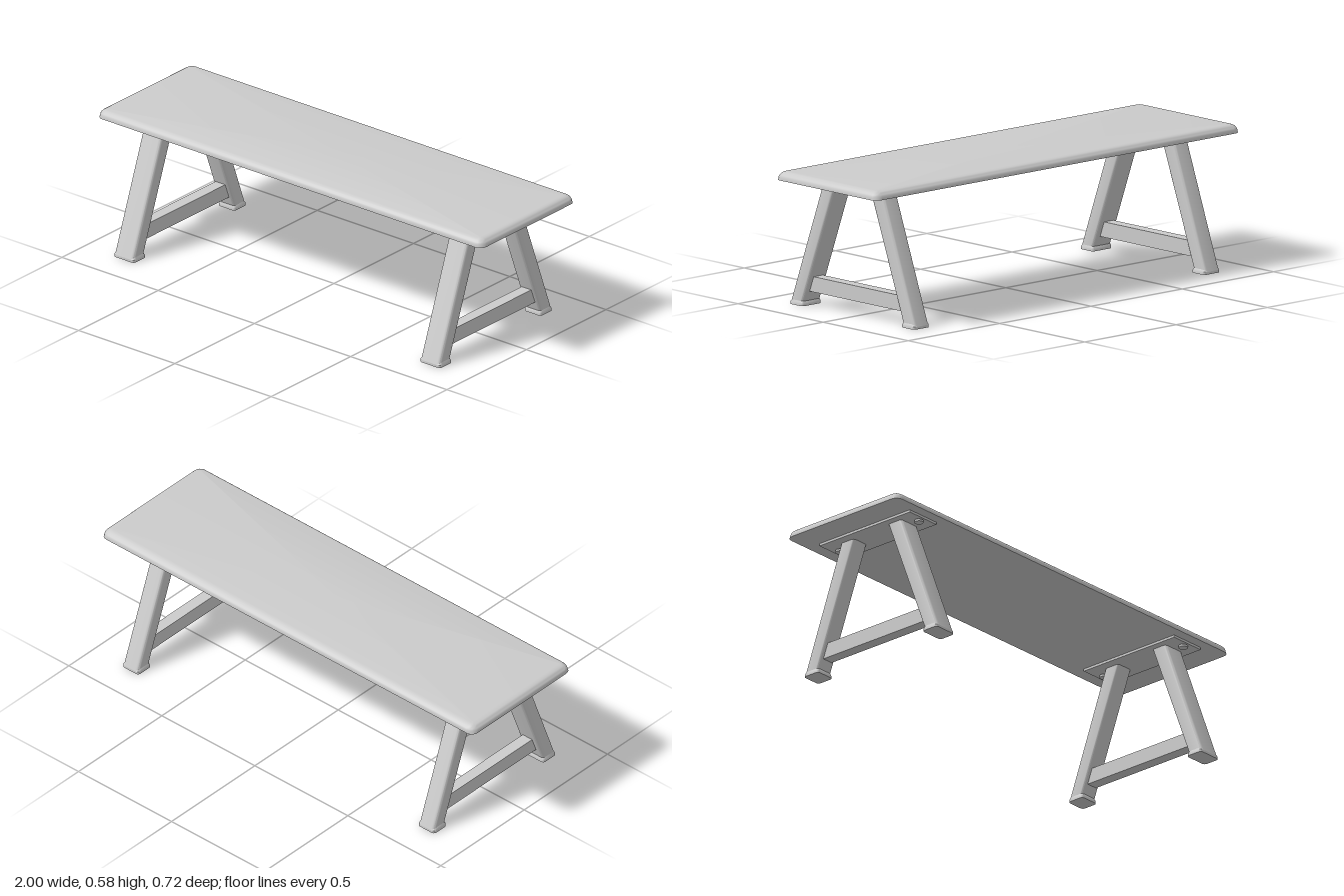
import * as THREE from 'three';
import { toCreasedNormals } from 'three/addons/utils/BufferGeometryUtils.js';

const material = new THREE.MeshStandardMaterial({ color: 0xcccccc });

// Closed solid through rounded rectangles, each [y, x, z, width, depth, cornerRadius], bottom to top
function loft(rings, segments = 4) {
  const points = [], index = [];
  const n = 4 * (segments + 1);
  for (const [y, cx, cz, w, d, r] of rings) {
    for (let q = 0; q < 4; q++) {
      const sx = q === 0 || q === 3 ? 1 : -1;
      const sz = q < 2 ? 1 : -1;
      for (let s = 0; s <= segments; s++) {
        const a = (q + s / segments) * Math.PI / 2;
        points.push(cx + sx * (w / 2 - r) + r * Math.cos(a), y, cz + sz * (d / 2 - r) + r * Math.sin(a));
      }
    }
  }
  for (let k = 0; k < rings.length - 1; k++) {
    for (let i = 0; i < n; i++) {
      const a = k * n + i, b = k * n + (i + 1) % n;
      index.push(a, a + n, b, b, a + n, b + n);
    }
  }
  // end caps
  const bottom = points.length / 3, top = bottom + 1, last = (rings.length - 1) * n;
  const first = rings[0], end = rings[rings.length - 1];
  points.push(first[1], first[0], first[2], end[1], end[0], end[2]);
  for (let i = 0; i < n; i++) {
    const j = (i + 1) % n;
    index.push(bottom, i, j, top, last + j, last + i);
  }
  const geometry = new THREE.BufferGeometry();
  geometry.setAttribute('position', new THREE.Float32BufferAttribute(points, 3));
  geometry.setIndex(index);
  return toCreasedNormals(geometry, 0.6);
}

function add(parent, name, geometry, x = 0, y = 0, z = 0) {
  const mesh = new THREE.Mesh(geometry, material);
  mesh.name = name;
  mesh.position.set(x, y, z);
  parent.add(mesh);
  return mesh;
}

// Seat board with a rounded upper edge
function seatGeometry() {
  const rings = [[0.541, 0, -0.013, 2, 0.594, 0.03]];
  const steps = 6;
  for (let i = 0; i <= steps; i++) {
    const a = i / steps * Math.PI / 2;
    const inset = 0.034 * (1 - Math.cos(a));
    rings.push([0.548 + 0.028 * Math.sin(a), 0, -0.013, 2 - 2 * inset, 0.594 - 2 * inset, 0.036 - inset * 0.8]);
  }
  return loft(rings);
}

// Slanted leg on a small flared foot; side is +1 at the front, -1 at the back
function addLeg(frame, side, width) {
  const label = side > 0 ? 'front' : 'back';
  const r = 0.013;
  add(frame, label + 'Leg', loft([
    [0.01, 0, side * 0.326, width, 0.07, r],
    [0.535, 0, side * 0.13, width, 0.073, r],
  ]));
  add(frame, label + 'Foot', loft([
    [0, 0, side * 0.3225, width + 0.008, 0.077, r],
    [0.011, 0, side * 0.3225, width + 0.008, 0.077, r],
    [0.02, 0, side * 0.3215, width, 0.068, r],
  ]));
}

// One end support: mounting plate, two legs, stretcher and bolts
function endFrame(x, name) {
  const frame = new THREE.Group();
  frame.name = name;
  frame.position.x = x;
  add(frame, 'mountingPlate', new THREE.BoxGeometry(0.16, 0.01, 0.485), 0, 0.536, -0.002);
  addLeg(frame, 1, 0.1);
  addLeg(frame, -1, 0.08);
  // stretcher ends follow the slope of the legs
  const stretcher = new THREE.BoxGeometry(0.05, 0.063, 0.56);
  const p = stretcher.attributes.position;
  for (let i = 0; i < p.count; i++) {
    p.setZ(i, Math.sign(p.getZ(i)) * (0.28 - 0.37 * p.getY(i)));
  }
  stretcher.computeVertexNormals();
  add(frame, 'stretcher', stretcher, 0, 0.0915, 0);
  const bolt = new THREE.CylinderGeometry(0.0185, 0.0185, 0.009, 20);
  add(frame, 'frontBolt', bolt, 0, 0.523, 0.218);
  add(frame, 'backBolt', bolt, 0, 0.522, -0.206);
  return frame;
}

export function createModel() {
  const bench = new THREE.Group();
  bench.name = 'bench';
  add(bench, 'seat', seatGeometry());
  bench.add(endFrame(0.795, 'leftEndFrame'), endFrame(-0.795, 'rightEndFrame'));
  return bench;
}
